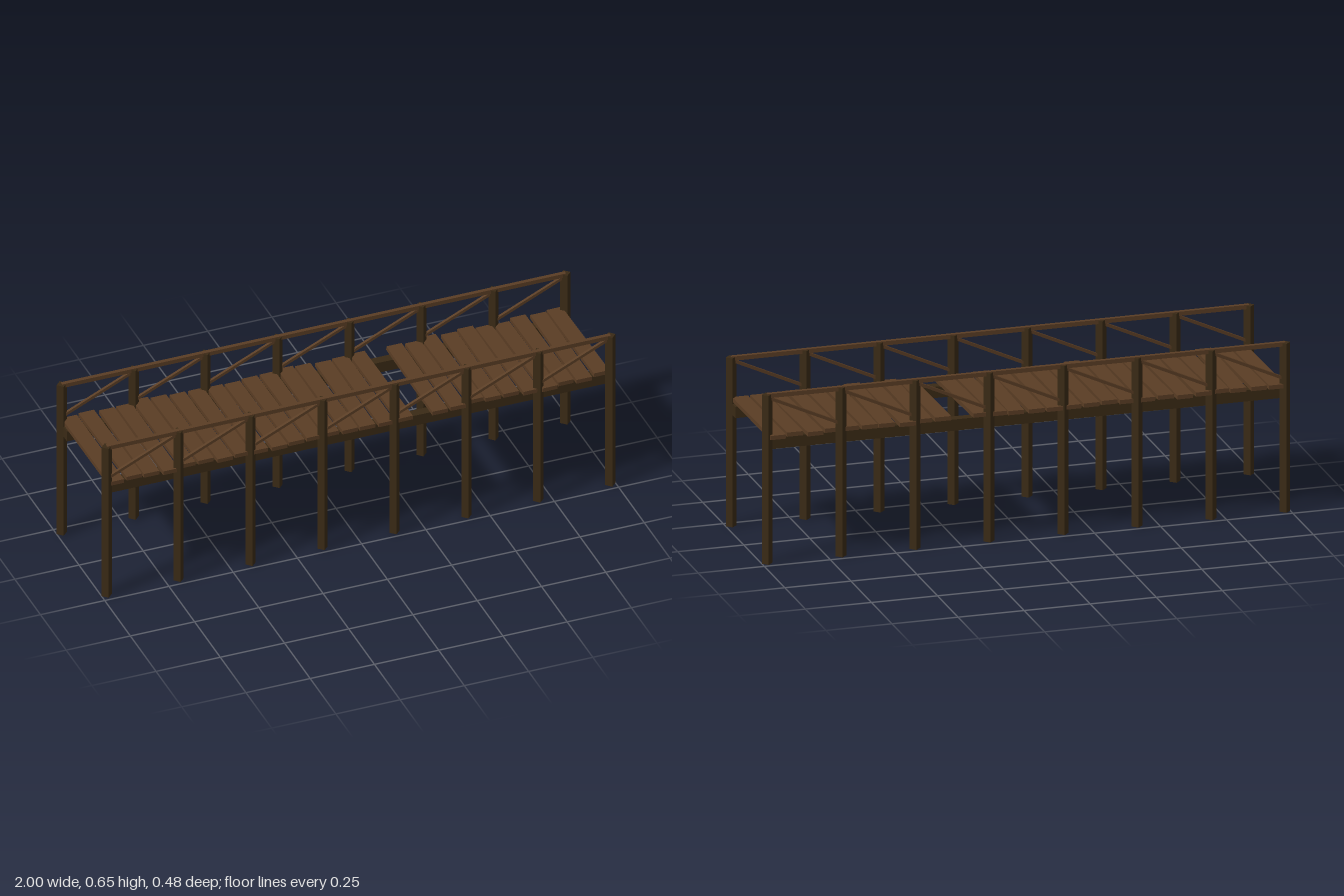
import * as THREE from 'three';

const postWood = new THREE.MeshStandardMaterial({ color: 0x3a2a15 });
postWood.name = 'dark post wood';
const plankWood = new THREE.MeshStandardMaterial({ color: 0x5a3d24 });
plankWood.name = 'brown plank wood';
// faceted posts keep hard edges through their own unshared normals
const POSTS = 8, BAY = 0.28, SIDE_Z = 0.219;
const PLANKS = 28, PITCH = 0.07, MISSING = 17;

// small seeded generator giving values in -1..1
function makeJitter(seed) {
  return () => {
    seed = (seed * 16807) % 2147483647;
    return (seed / 2147483647) * 2 - 1;
  };
}

function addBox(parent, name, size, position, material) {
  const mesh = new THREE.Mesh(new THREE.BoxGeometry(...size), material);
  mesh.name = name;
  mesh.position.set(...position);
  parent.add(mesh);
  return mesh;
}

// one long side: posts, support beam, handrail and diagonal braces
function makeSide(sign) {
  const side = new THREE.Group();
  side.name = sign > 0 ? 'frontSide' : 'backSide';
  const z = sign * SIDE_Z;

  // four-sided posts set corner-on
  const postGeometry = new THREE.CylinderGeometry(0.02, 0.02, 0.645, 4).toNonIndexed();
  postGeometry.computeVertexNormals();
  for (let i = 0; i < POSTS; i++) {
    const post = new THREE.Mesh(postGeometry, postWood);
    post.name = 'post';
    post.position.set((i - (POSTS - 1) / 2) * BAY, 0.3225, z);
    side.add(post);
  }

  addBox(side, 'supportBeam', [1.96, 0.043, 0.036], [0, 0.4495, sign * 0.185], postWood);
  addBox(side, 'handrail', [1.96, 0.016, 0.016], [0, 0.64, z], plankWood);

  // one brace per bay, rising towards +x
  const rise = 0.128;
  for (let i = 0; i < POSTS - 1; i++) {
    const x = (i - (POSTS - 2) / 2) * BAY;
    const brace = addBox(side, 'diagonalBrace', [Math.hypot(BAY, rise), 0.011, 0.011],
      [x, 0.57, z], plankWood);
    brace.rotation.z = Math.atan2(rise, BAY);
  }
  return side;
}

// uneven deck boards with one board missing
function makeDeck() {
  const deck = new THREE.Group();
  deck.name = 'deck';
  const jitter = makeJitter(4711);
  // sideways slip of each board, in hundredths
  const slip = [-0.4, -0.8, 0, 0.2, -1.2, -0.9, 0.2, 0, 0.3, 0.9, 0, -0.2, -1, -0.5,
    0.2, 0.1, 0, 0, 0.1, 0.6, -1.2, 0, -0.8, 0.4, 0.8, -1.1, 0.2, -1];
  for (let i = 0; i < PLANKS; i++) {
    const lift = jitter(), yaw = jitter(), tilt = jitter();
    if (i === MISSING) continue;
    const x = (i - (PLANKS - 1) / 2) * PITCH;
    const plank = addBox(deck, 'plank', [0.06, 0.016, 0.453],
      [x, 0.483 + lift * 0.0025, slip[i] / 100], plankWood);
    plank.rotation.set(tilt * 0.012, yaw * 0.018, 0);
  }
  return deck;
}

export function createModel() {
  const pier = new THREE.Group();
  pier.name = 'woodenPier';
  pier.add(makeSide(1), makeSide(-1), makeDeck());
  return pier;
}
